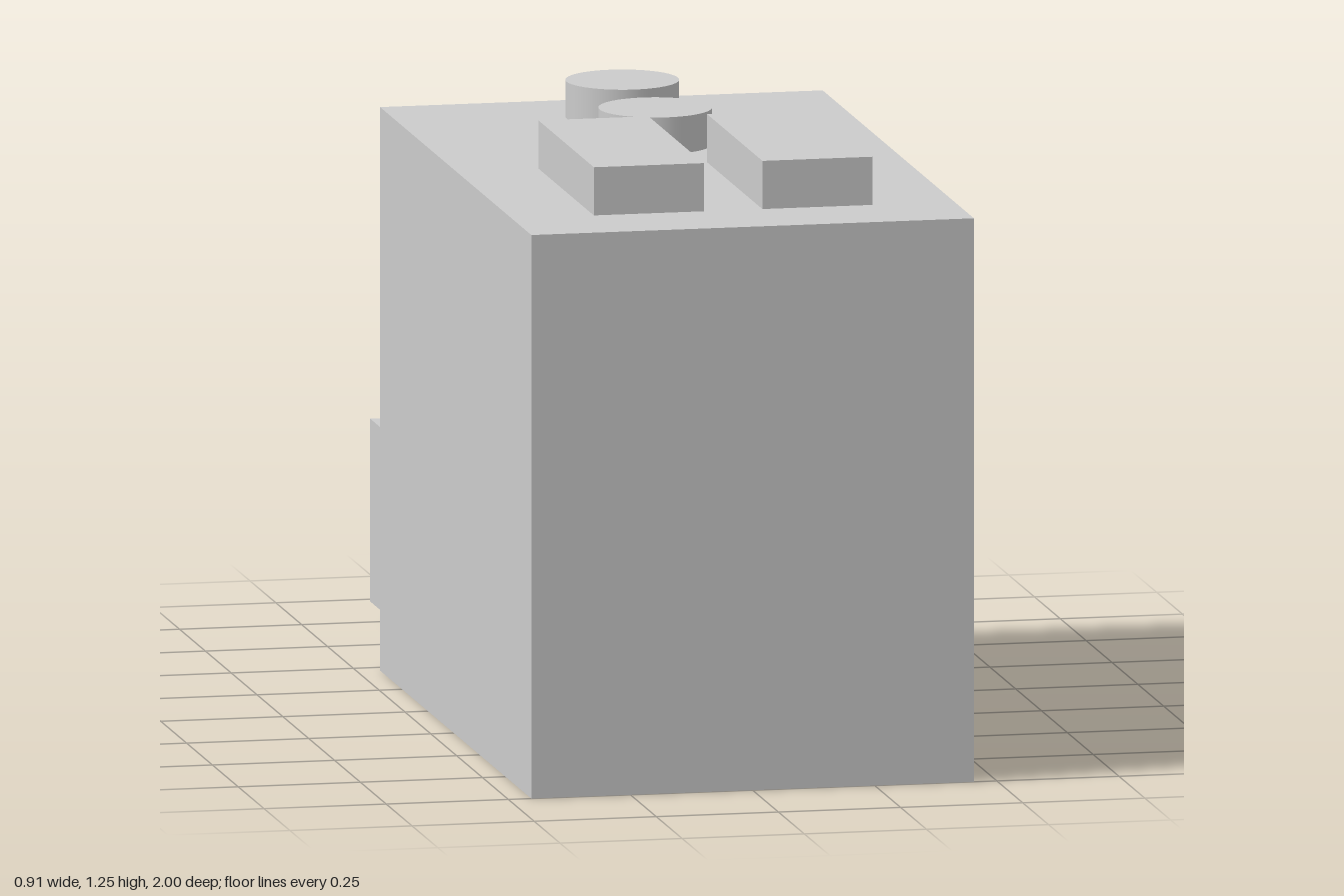
import * as THREE from 'three';

const material = new THREE.MeshStandardMaterial({ color: 0xcccccc });

export function createModel() {
  const group = new THREE.Group();

  const add = (name, geometry, x, y, z) => {
    const mesh = new THREE.Mesh(geometry, material);
    mesh.name = name;
    mesh.position.set(x, y, z);
    group.add(mesh);
  };

  // Box given by its min and max corners
  const addBox = (name, [x0, y0, z0], [x1, y1, z1]) =>
    add(name, new THREE.BoxGeometry(x1 - x0, y1 - y0, z1 - z0),
      (x0 + x1) / 2, (y0 + y1) / 2, (z0 + z1) / 2);

  const top = 1.147;
  const back = -0.464;

  // Main block and the offset block on its back
  addBox('body', [-0.453, 0, back], [0.453, top, 1]);
  addBox('rearBlock', [-0.36, 0.042, -1], [-0.057, 0.414, back]);

  // Pair of raised bars on top
  addBox('leftTopBar', [0.06, top, 0.275], [0.285, 1.245, 0.811]);
  addBox('rightTopBar', [-0.285, top, 0.275], [-0.06, 1.245, 0.811]);

  // Two round buttons behind the bars
  const height = 0.075;
  const names = ['frontButton', 'rearButton'];
  [0.057, -0.261].forEach((z, i) =>
    add(names[i], new THREE.CylinderGeometry(0.114, 0.114, height, 48), 0, top + height / 2, z));

  return group;
}
